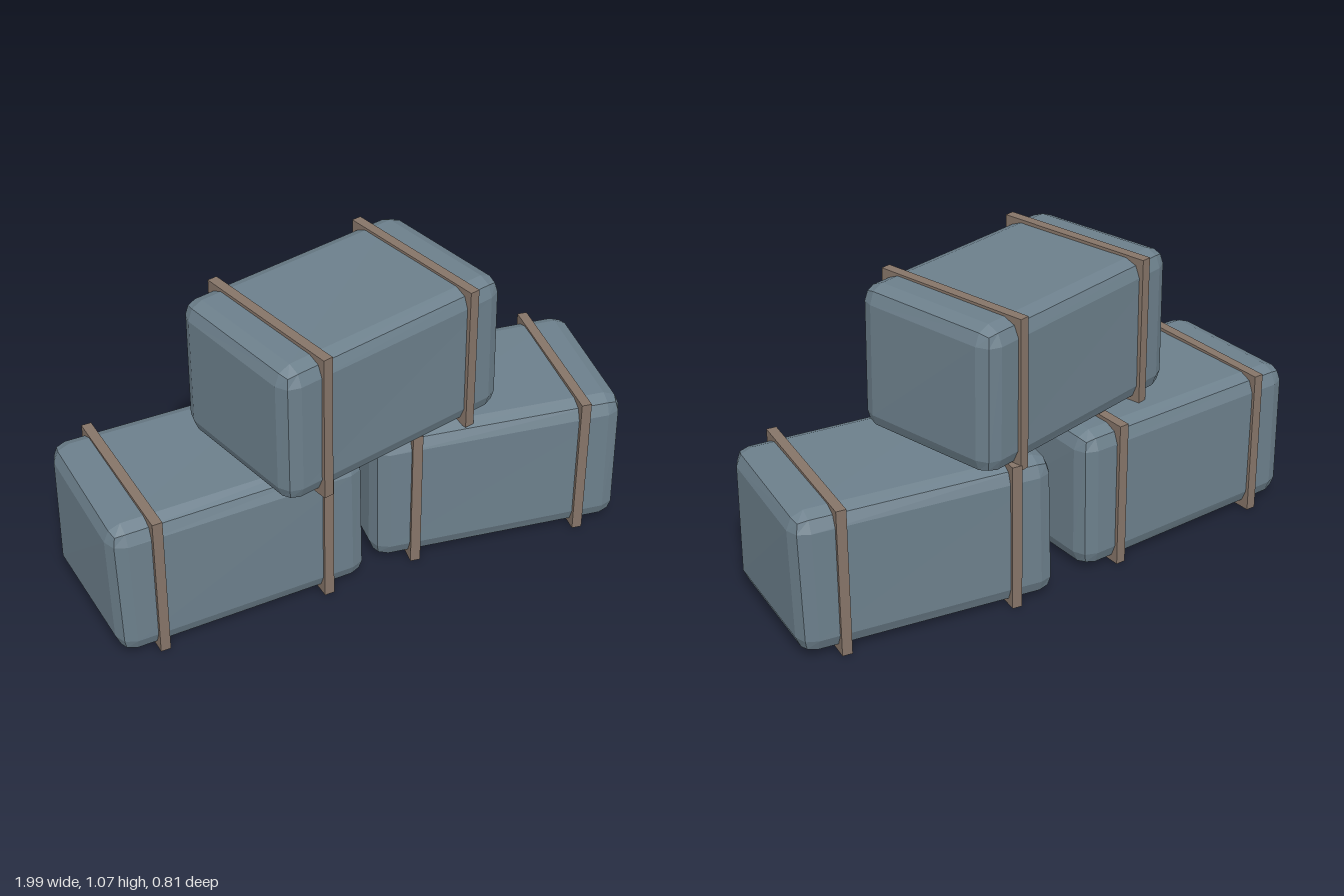
import * as THREE from 'three';
import { RoundedBoxGeometry } from 'three/addons/geometries/RoundedBoxGeometry.js';

const LENGTH = 0.93, HEIGHT = 0.525, DEPTH = 0.59;
const STRAP_HEIGHT = 0.545, STRAP_DEPTH = 0.615, STRAP_WIDTH = 0.036;

// Chamfered block, its surface nudged a little so it looks packed by hand
function baleGeometry(seed) {
  const geometry = new RoundedBoxGeometry(LENGTH, HEIGHT, DEPTH, 1, 0.06);
  const p = geometry.attributes.position;
  for (let i = 0; i < p.count; i++) {
    const x = p.getX(i), y = p.getY(i), z = p.getZ(i);
    p.setXYZ(i,
      x + 0.005 * Math.sin(5 * y + 4 * z + seed),
      y + 0.004 * Math.sin(4 * x + 5 * z + seed * 2),
      z + 0.004 * Math.sin(4 * x + 6 * y + seed * 3));
  }
  geometry.computeVertexNormals();
  return geometry;
}

export function createModel() {
  const model = new THREE.Group();
  model.name = 'baleStack';

  const cloth = new THREE.MeshStandardMaterial({ color: 0x6c7f8b, flatShading: true });
  cloth.name = 'blue grey cloth';
  const strapping = new THREE.MeshStandardMaterial({ color: 0x857468 });
  strapping.name = 'brown strap';

  const strapGeometry = new THREE.BoxGeometry(STRAP_WIDTH, STRAP_HEIGHT, STRAP_DEPTH);

  // Name, centre and turn of each bale
  const bales = [
    ['leftBale', 0.508, 0.2725, -0.06, -0.08],
    ['rightBale', -0.513, 0.2725, 0, 0.098],
    ['topBale', -0.012, 0.7975, 0, 0.3],
  ];

  bales.forEach(([name, x, y, z, turn], i) => {
    const group = new THREE.Group();
    group.name = name;
    group.position.set(x, y, z);
    group.rotation.y = turn;

    const body = new THREE.Mesh(baleGeometry(i + 1), cloth);
    body.name = 'baleBody';
    group.add(body);

    // Two straps around each bale
    for (const side of [-1, 1]) {
      const strap = new THREE.Mesh(strapGeometry, strapping);
      strap.name = side > 0 ? 'leftStrap' : 'rightStrap';
      strap.position.x = side * 0.31;
      group.add(strap);
    }
    model.add(group);
  });

  return model;
}
